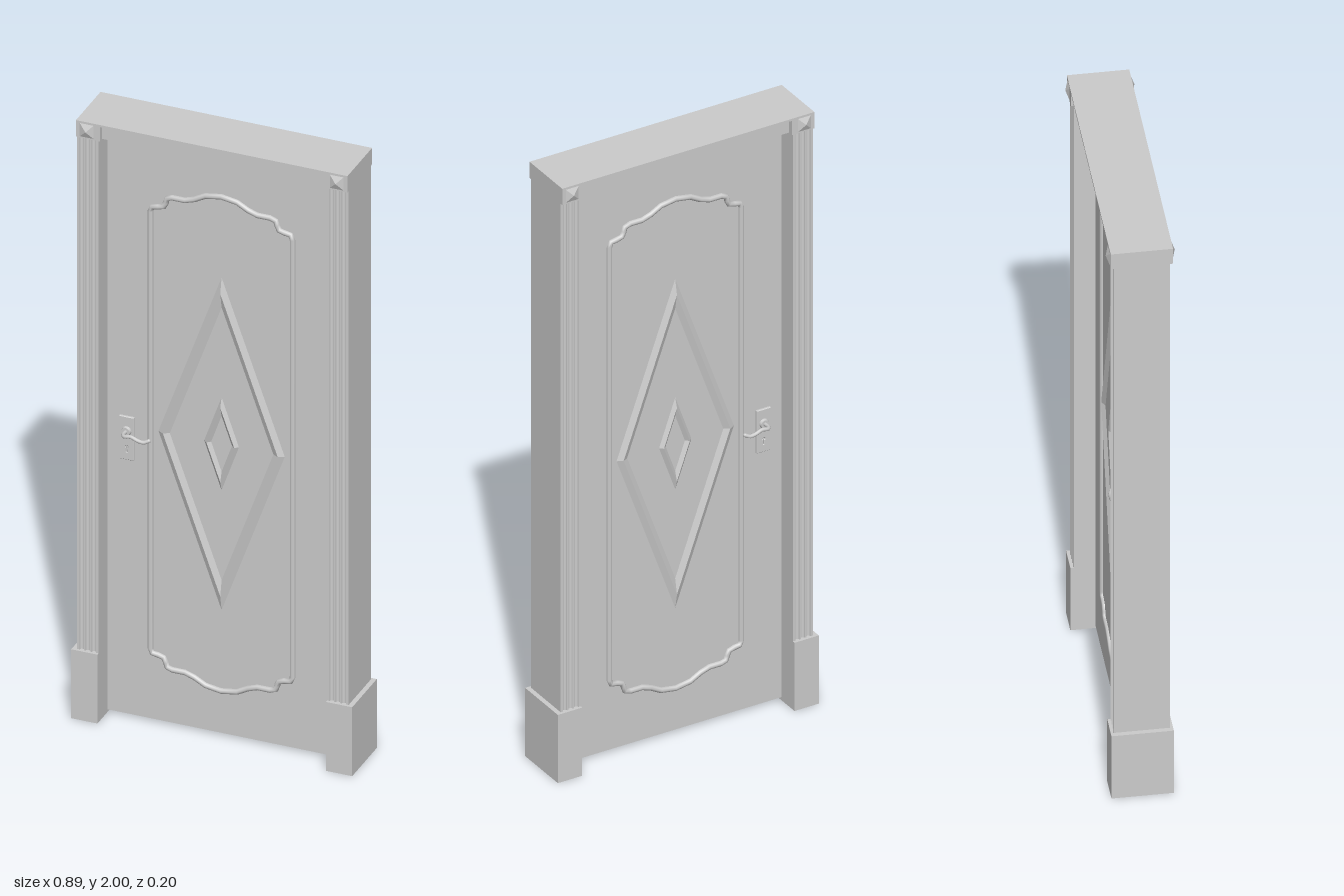
import * as THREE from 'three';

const smooth = new THREE.MeshStandardMaterial({ color: 0xcccccc, side: THREE.DoubleSide });
const flat = new THREE.MeshStandardMaterial({ color: 0xcccccc, flatShading: true, side: THREE.DoubleSide });

function add(parent, name, geometry, x = 0, y = 0, z = 0, material = flat) {
  const mesh = new THREE.Mesh(geometry, material);
  mesh.name = name;
  mesh.position.set(x, y, z);
  parent.add(mesh);
  return mesh;
}

const box = (w, h, d) => new THREE.BoxGeometry(w, h, d);

const DOOR_Z = 0.018;  // half thickness of the leaf
const MID_Y = 0.975;   // centre of the panel decoration

// Fluted post: cross-section with three round grooves on front and back
function jambGeometry(height) {
  const w = 0.034, d = 0.083, r = 0.007;
  const grooves = [-0.019, 0, 0.019];
  const s = new THREE.Shape();
  s.moveTo(-w, -d);
  for (const g of grooves) {
    s.lineTo(g - r, -d);
    s.absarc(g, -d, r, Math.PI, 0, true);
  }
  s.lineTo(w, -d);
  s.lineTo(w, d);
  for (const g of [...grooves].reverse()) {
    s.lineTo(g + r, d);
    s.absarc(g, d, r, 0, Math.PI, true);
  }
  s.lineTo(-w, d);
  s.closePath();
  return new THREE.ExtrudeGeometry(s, { depth: height, bevelEnabled: false, curveSegments: 6 })
    .rotateX(-Math.PI / 2);
}

// Closed moulding outline: one quarter, mirrored to four
function mouldingGeometry() {
  const quarter = [
    [0.225, 0], [0.225, 0.73], [0.219, 0.745], [0.2, 0.748], [0.183, 0.753], [0.176, 0.768],
    [0.172, 0.782], [0.155, 0.788], [0.115, 0.788], [0.085, 0.798], [0.05, 0.817], [0, 0.825],
  ];
  const back = [...quarter].reverse();
  const loop = [
    ...quarter,
    ...back.slice(1).map(([x, y]) => [-x, y]),
    ...quarter.slice(1).map(([x, y]) => [-x, -y]),
    ...back.slice(1, -1).map(([x, y]) => [x, -y]),
  ];
  const path = new THREE.CurvePath();
  loop.forEach(([x, y], i) => {
    const [nx, ny] = loop[(i + 1) % loop.length];
    path.add(new THREE.LineCurve3(new THREE.Vector3(x, y, 0), new THREE.Vector3(nx, ny, 0)));
  });
  // Sample at the corners so the tube keeps the outline exactly
  const curve = new THREE.Curve();
  const n = loop.length;
  curve.getPoint = (t, target = new THREE.Vector3()) => {
    const k = Math.min(t, 1) * n, i = Math.min(Math.floor(k), n - 1);
    return target.copy(path.curves[i].getPoint(k - i));
  };
  curve.getPointAt = curve.getPoint;
  curve.getTangentAt = (t, target = new THREE.Vector3()) => {
    const a = curve.getPoint((t - 0.3 / n + 1) % 1), b = curve.getPoint((t + 0.3 / n) % 1);
    return target.copy(b.sub(a)).normalize();
  };
  curve.getTangent = curve.getTangentAt;
  return new THREE.TubeGeometry(curve, n, 0.009, 8, true);
}

// Raised ridge around a diamond
function diamondGeometry(halfW, halfH, inner, height) {
  const profile = [[1, 0], [(1 + inner) / 2, height], [inner, 0]].map(([x, y]) => new THREE.Vector2(x, y));
  return new THREE.LatheGeometry(profile, 4).rotateX(Math.PI / 2).scale(halfW, halfH, 1);
}

// Lever handle with a keyhole plate; dir is the side the lever points to
function handle(dir) {
  const g = new THREE.Group();
  g.name = 'doorHandle';
  const plate = new THREE.Shape();
  plate.moveTo(-0.022, -0.07);
  plate.lineTo(0.022, -0.07);
  plate.lineTo(0.022, 0.07);
  plate.lineTo(-0.022, 0.07);
  plate.closePath();
  const hole = new THREE.Path();
  hole.moveTo(-0.003, -0.048);
  hole.lineTo(-0.003, -0.032);
  hole.absarc(0, -0.028, 0.006, Math.PI * 1.3, -Math.PI * 0.3, true);
  hole.lineTo(0.003, -0.048);
  hole.closePath();
  plate.holes.push(hole);
  add(g, 'handlePlate', new THREE.ExtrudeGeometry(plate, {
    depth: 0.005, bevelThickness: 0.002, bevelSize: 0.002, bevelSegments: 1, curveSegments: 6,
  }));
  add(g, 'handleRosette', new THREE.CylinderGeometry(0.013, 0.016, 0.01, 20).rotateX(Math.PI / 2), 0, 0.025, 0.01);
  const lever = new THREE.CatmullRomCurve3([
    [0, 0.025, 0.005], [0, 0.025, 0.032], [0.008, 0.026, 0.043], [0.03, 0.03, 0.045],
    [0.052, 0.022, 0.045], [0.07, 0.02, 0.044], [0.084, 0.026, 0.04],
  ].map(([x, y, z]) => new THREE.Vector3(x * dir, y, z)));
  add(g, 'handleLever', new THREE.TubeGeometry(lever, 30, 0.006, 10), 0, 0, 0, smooth);
  const tip = lever.getPoint(1);
  add(g, 'handleTip', new THREE.SphereGeometry(0.006, 10, 8), tip.x, tip.y, tip.z, smooth);
  return g;
}

export function createModel() {
  const model = new THREE.Group();
  model.name = 'door';

  // Frame sides
  for (const s of [-1, 1]) {
    const side = new THREE.Group();
    side.name = s > 0 ? 'leftFrame' : 'rightFrame';
    model.add(side);
    add(side, 'jamb', jambGeometry(1.945), s * 0.396, 0, 0);
    add(side, 'baseBlock', box(0.083, 0.23, 0.184), s * 0.4035, 0.115, 0);
    add(side, 'cornerBlock', box(0.076, 0.055, 0.184), s * 0.392, 1.9725, 0);
    // Pointed studs on the corner blocks
    for (const f of [-1, 1]) {
      const stud = new THREE.ConeGeometry(0.031, 0.01, 4).rotateY(Math.PI / 4).rotateX(f * Math.PI / 2);
      add(side, 'cornerStud', stud, s * 0.396, 1.971, f * 0.097);
    }
  }

  // Head of the frame, set back under a thin cap
  add(model, 'lintel', box(0.71, 0.048, 0.15), 0, 1.969, 0);
  add(model, 'cap', box(0.71, 0.007, 0.184), 0, 1.9965, 0);

  // Door leaf
  add(model, 'doorLeaf', box(0.73, 1.935, DOOR_Z * 2), 0, 0.9775, 0);

  // Decoration and hardware on both faces
  for (const f of [1, -1]) {
    const face = new THREE.Group();
    face.name = f > 0 ? 'frontFace' : 'backFace';
    face.rotation.y = f > 0 ? 0 : Math.PI;
    model.add(face);
    add(face, 'panelMoulding', mouldingGeometry(), 0, MID_Y, DOOR_Z, smooth);
    add(face, 'outerDiamond', diamondGeometry(0.2, 0.555, 0.82, 0.01), 0, MID_Y, DOOR_Z);
    add(face, 'innerDiamond', diamondGeometry(0.055, 0.155, 0.6, 0.01), 0, MID_Y, DOOR_Z);
    const h = handle(f);
    h.position.set(-0.298 * f, 0.932, DOOR_Z);
    face.add(h);
  }
  return model;
}
